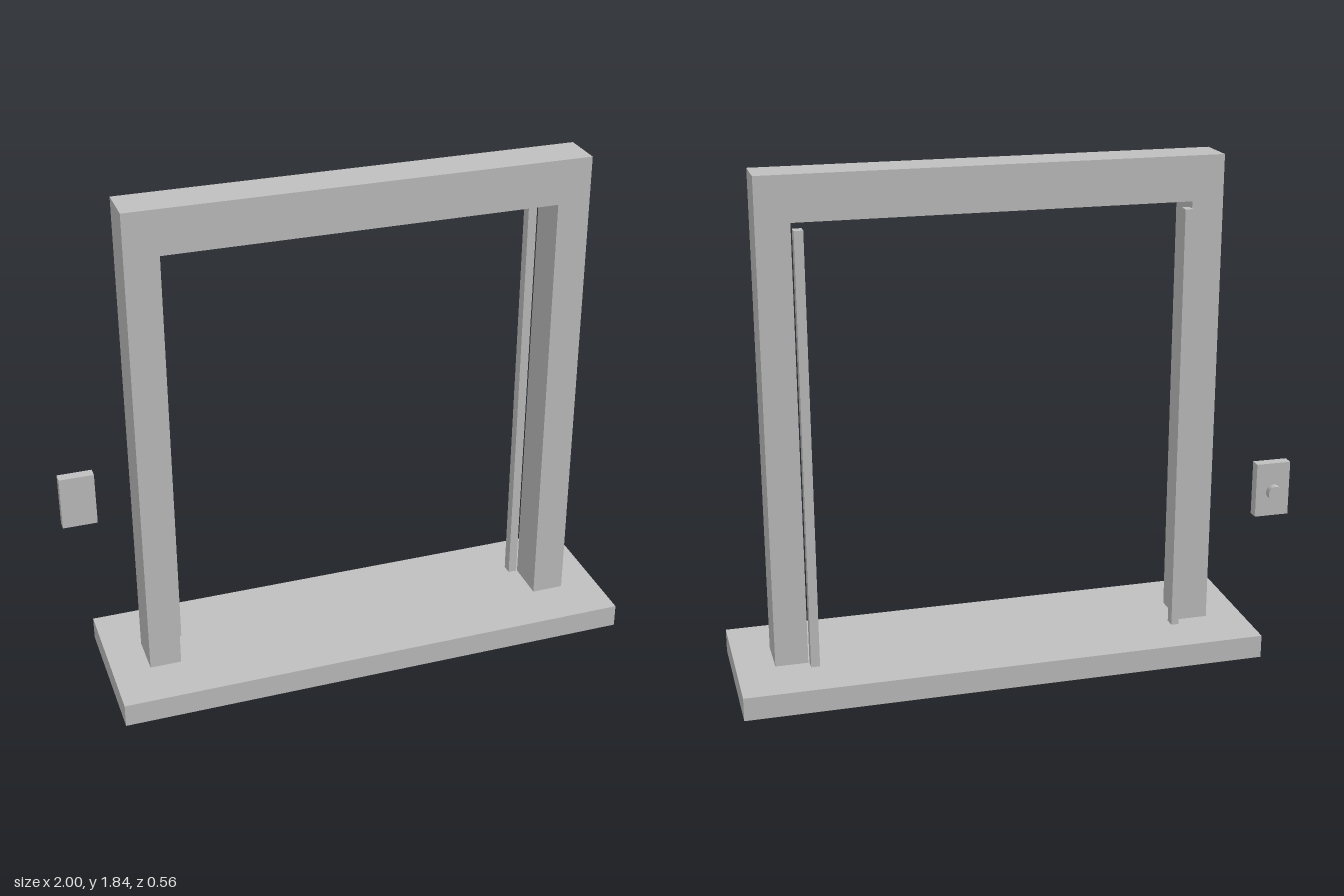
import * as THREE from 'three';

const grey = new THREE.MeshStandardMaterial({ color: 0xc0c0c0 });
grey.name = 'plain grey';

// Box given by its minimum and maximum corners
function block(name, [x0, y0, z0], [x1, y1, z1]) {
  const mesh = new THREE.Mesh(new THREE.BoxGeometry(x1 - x0, y1 - y0, z1 - z0), grey);
  mesh.position.set((x0 + x1) / 2, (y0 + y1) / 2, (z0 + z1) / 2);
  mesh.name = name;
  return mesh;
}

export function createModel() {
  const model = new THREE.Group();
  model.name = 'doorFrame';
  const baseTop = 0.086, frameBack = -0.067, frameFront = 0.089;

  // Base slab
  model.add(block('base', [-0.909, 0, -0.28], [1, baseTop, 0.28]));

  // Two posts and lintel in one outline
  const outline = new THREE.Shape([
    [-0.772, baseTop], [-0.658, baseTop], [-0.658, 1.682], [0.743, 1.682],
    [0.743, baseTop], [0.861, baseTop], [0.861, 1.842], [-0.772, 1.842],
  ].map(([x, y]) => new THREE.Vector2(x, y)));
  const frame = new THREE.Mesh(
    new THREE.ExtrudeGeometry(outline, { depth: frameFront - frameBack, bevelEnabled: false }), grey);
  frame.position.z = frameBack;
  frame.name = 'frame';
  model.add(frame);

  // Thin rails behind the opening
  for (const [name, x0, x1] of [['rightRail', -0.648, -0.619], ['leftRail', 0.707, 0.739]]) {
    model.add(block(name, [x0, baseTop, -0.106], [x1, 1.663, frameBack]));
  }

  // Detached switch plate with a round button behind it
  const control = new THREE.Group();
  control.name = 'switch';
  control.add(block('switchPlate', [-1, 0.55, -0.246], [-0.873, 0.75, -0.207]));
  const button = new THREE.Mesh(new THREE.CylinderGeometry(0.027, 0.027, 0.025, 32), grey);
  button.rotation.x = Math.PI / 2;
  button.position.set(-0.935, 0.645, -0.2675);
  button.name = 'button';
  control.add(button);
  model.add(control);

  return model;
}
